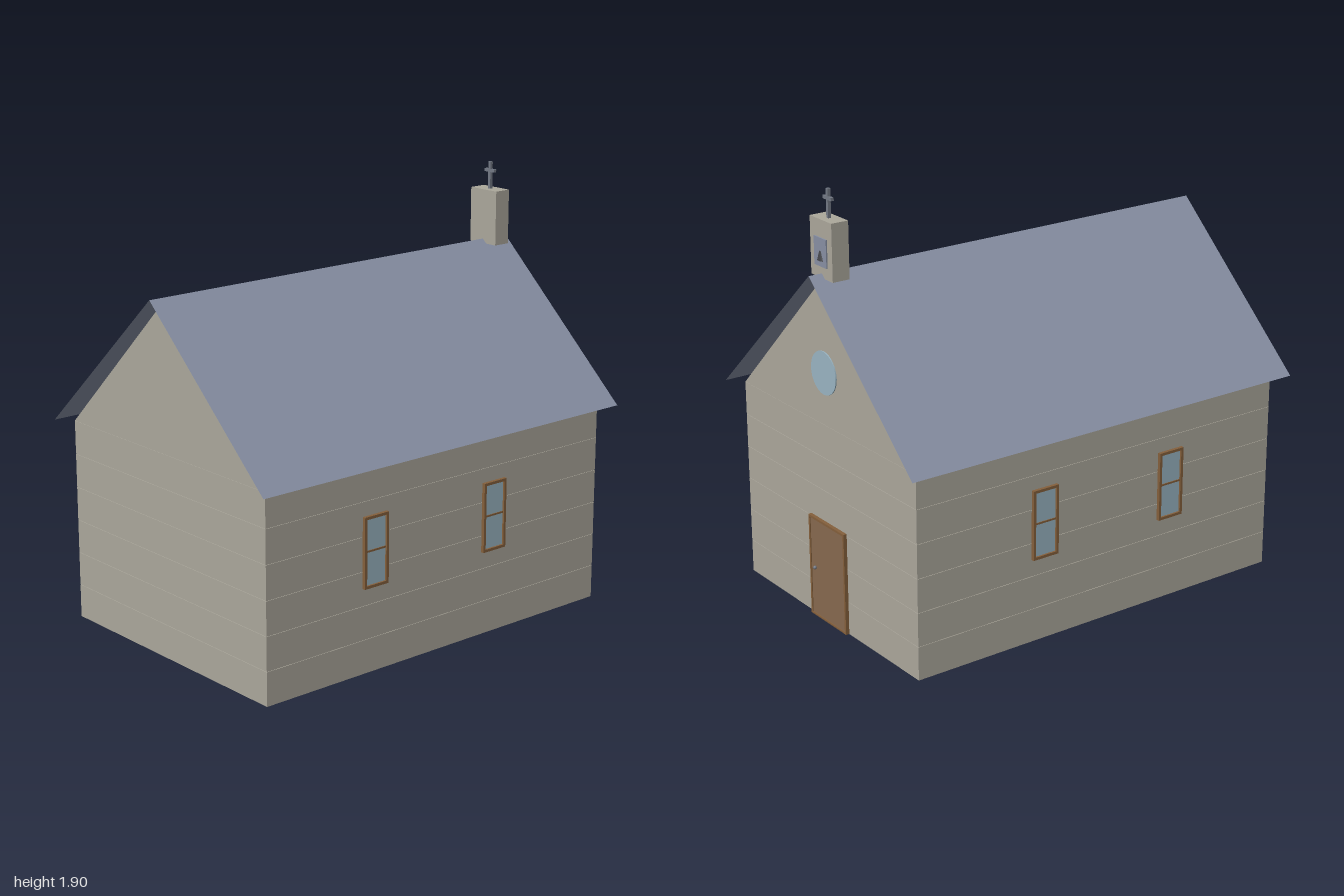
import * as THREE from 'three';

const material = (name, color, extra = {}) => {
  const m = new THREE.MeshStandardMaterial({ color, ...extra });
  m.name = name;
  return m;
};

export function createModel() {
  const root = new THREE.Group();
  root.name = 'chapel';
  const wall = material('stoneWall', 0xaca89c);
  const slate = material('slateRoof', 0x8890a4, { side: THREE.DoubleSide });
  const frameWood = material('frameWood', 0x85603c);
  const doorWood = material('doorWood', 0x876a4f);
  const glass = material('paleGlass', 0x9ab5c3);
  const metal = material('greyMetal', 0x737985);
  const dark = material('darkMetal', 0x45464b);

  const add = (parent, name, geometry, mat, x = 0, y = 0, z = 0) => {
    const mesh = new THREE.Mesh(geometry, mat);
    mesh.name = name;
    mesh.position.set(x, y, z);
    parent.add(mesh);
    return mesh;
  };
  const box = (parent, name, mat, w, h, d, x, y, z) =>
    add(parent, name, new THREE.BoxGeometry(w, h, d), mat, x, y, z);
  const group = (name, x = 0, y = 0, z = 0) => {
    const g = new THREE.Group();
    g.name = name;
    g.position.set(x, y, z);
    root.add(g);
    return g;
  };

  // Walls: six courses with hairline joints over a slightly inset core
  const walls = group('walls');
  box(walls, 'wallCore', wall, 1.294, 0.896, 1.874, 0, 0.449, 0);
  for (let i = 0; i < 6; i++) {
    box(walls, 'wallCourse', wall, 1.3, 0.148, 1.88, 0, 0.074 + i * 0.15, 0);
  }

  // Gables
  const gable = new THREE.Shape([
    new THREE.Vector2(-0.65, 0.899),
    new THREE.Vector2(0.65, 0.899),
    new THREE.Vector2(0, 1.53),
  ]);
  add(walls, 'gables', new THREE.ExtrudeGeometry(gable, { depth: 1.88, bevelEnabled: false }), wall, 0, 0, -0.94);

  // Two thin roof slopes with overhanging eaves
  const halfWidth = 0.715, eaveY = 0.9, ridgeY = 1.555;
  const slope = Math.hypot(halfWidth, ridgeY - eaveY);
  const pitch = Math.atan2(ridgeY - eaveY, halfWidth);
  for (const s of [-1, 1]) {
    const g = new THREE.PlaneGeometry(slope, 2).rotateX(-Math.PI / 2).rotateZ(-s * pitch);
    add(root, s > 0 ? 'leftRoof' : 'rightRoof', g, slate, s * halfWidth / 2, (eaveY + ridgeY) / 2, 0);
  }

  // Side windows: built facing +z, then turned to each side wall
  for (const s of [-1, 1]) {
    for (const z of [0.37, -0.305]) {
      const w = group('sideWindow', s * 0.65, 0.53, z);
      w.rotation.y = s * Math.PI / 2;
      box(w, 'windowGlass', glass, 0.116, 0.296, 0.006, 0, 0, 0.003);
      for (const e of [-1, 1]) {
        box(w, 'windowJamb', frameWood, 0.012, 0.31, 0.015, e * 0.059, 0, 0.0075);
        box(w, 'windowRail', frameWood, 0.106, 0.012, 0.015, 0, e * 0.149, 0.0075);
      }
      box(w, 'windowBar', frameWood, 0.106, 0.008, 0.01, 0, 0.004, 0.005);
    }
  }

  // Door on the back gable wall, built facing +z then turned
  const door = group('door', 0, 0, -0.94);
  door.rotation.y = Math.PI;
  box(door, 'doorLeaf', doorWood, 0.252, 0.446, 0.012, 0, 0.227, 0.006);
  for (const e of [-1, 1]) {
    box(door, 'doorJamb', frameWood, 0.01, 0.46, 0.016, e * 0.131, 0.23, 0.008);
  }
  box(door, 'doorHead', frameWood, 0.252, 0.01, 0.016, 0, 0.455, 0.008);
  box(door, 'doorSill', frameWood, 0.252, 0.008, 0.016, 0, 0.004, 0.008);
  add(door, 'doorKnob', new THREE.SphereGeometry(0.008, 12, 8), metal, -0.095, 0.226, 0.017);

  // Round gable window
  add(root, 'roundWindow', new THREE.CylinderGeometry(0.094, 0.094, 0.006, 32).rotateX(Math.PI / 2),
    glass, 0, 1.13, -0.942);

  // Bell turret with a belfry panel and a bell
  const turret = group('bellTurret', 0, 0, -0.897);
  box(turret, 'turretBlock', wall, 0.16, 0.245, 0.08, 0, 1.6575, 0);
  box(turret, 'belfryPanel', slate, 0.09, 0.12, 0.006, 0, 1.645, -0.043);
  const bell = add(turret, 'bell', new THREE.CylinderGeometry(0.007, 0.022, 0.04, 16), dark, 0, 1.63, -0.044);
  bell.scale.z = 0.45;

  // Rooftop cross
  box(turret, 'crossPost', metal, 0.014, 0.125, 0.014, 0, 1.8395, 0);
  box(turret, 'crossArm', metal, 0.06, 0.014, 0.014, 0, 1.862, 0);

  return root;
}
